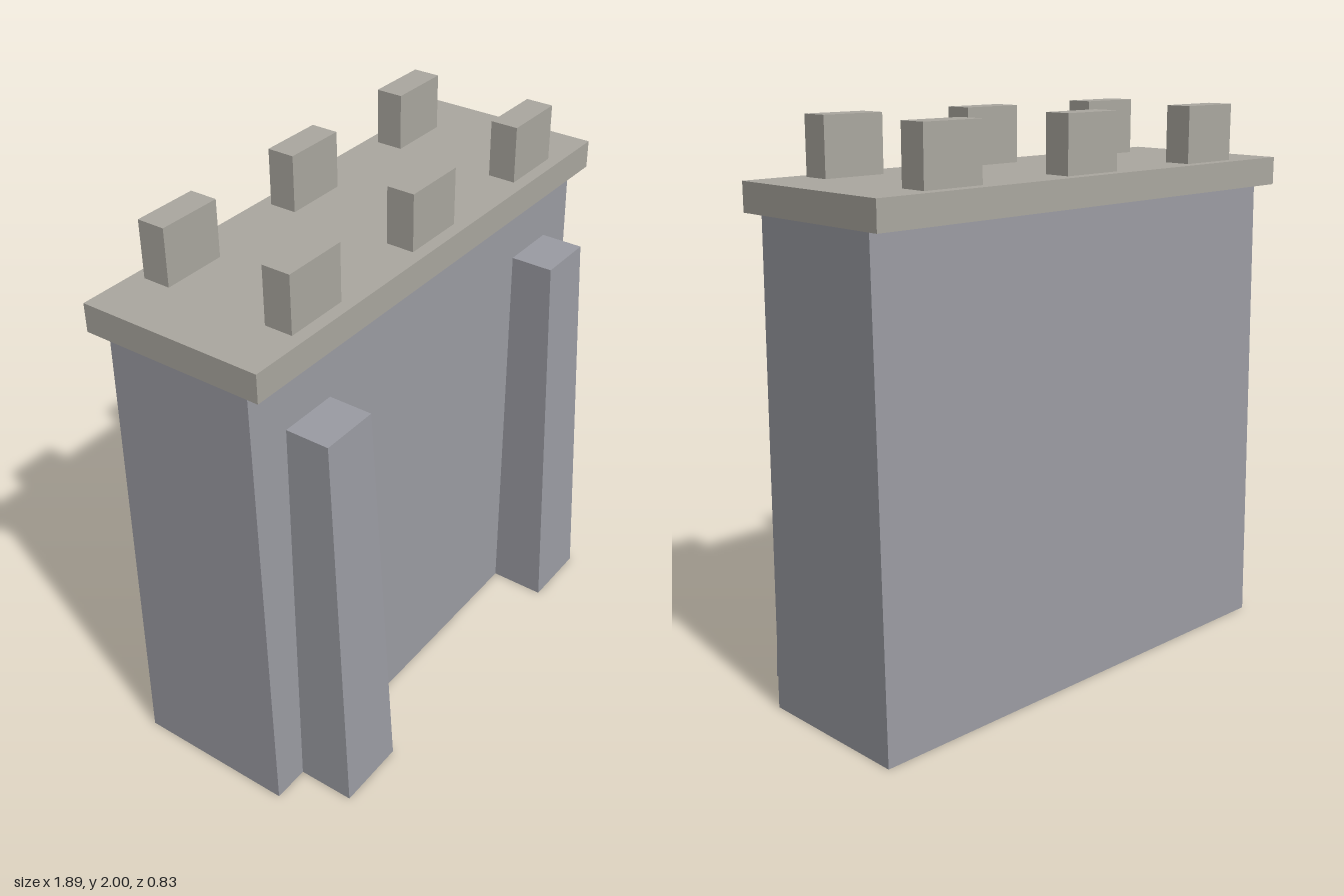
import * as THREE from 'three';

const wallMat = new THREE.MeshStandardMaterial({ color: 0x9b9ca3, flatShading: true });
const capMat = new THREE.MeshStandardMaterial({ color: 0xaba8a0, flatShading: true });

// Box from y0 to y1; bottom and top are [xMin, xMax, zMin, zMax]
function taperedBlock(name, material, y0, y1, bottom, top = bottom) {
  const geometry = new THREE.BoxGeometry(1, 1, 1);
  const p = geometry.attributes.position;
  for (let i = 0; i < p.count; i++) {
    const upper = p.getY(i) > 0;
    const r = upper ? top : bottom;
    p.setXYZ(i, r[p.getX(i) > 0 ? 1 : 0], upper ? y1 : y0, r[p.getZ(i) > 0 ? 3 : 2]);
  }
  geometry.computeVertexNormals();
  const mesh = new THREE.Mesh(geometry, material);
  mesh.name = name;
  return mesh;
}

export function createModel() {
  const model = new THREE.Group();
  model.name = 'castleWall';

  // Wall body, leaning inward at front and back
  model.add(taperedBlock('wall', wallMat, 0, 1.7,
    [-0.92, 0.92, -0.38, 0.21], [-0.92, 0.92, -0.35, 0.185]));

  // Tapered buttresses on the front face
  for (const [side, s] of [['left', 1], ['right', -1]]) {
    const span = (a, b) => (s > 0 ? [a, b] : [-b, -a]);
    model.add(taperedBlock(side + 'Buttress', wallMat, 0, 1.48,
      [...span(0.52, 0.785), 0.18, 0.417], [...span(0.543, 0.76), 0.18, 0.345]));
  }

  // Overhanging walkway slab
  model.add(taperedBlock('walkway', capMat, 1.7, 1.8, [-0.945, 0.945, -0.417, 0.247]));

  // Two rows of merlons
  const merlons = new THREE.Group();
  merlons.name = 'merlons';
  for (const z of [0.152, -0.323]) {
    for (const x of [-0.612, 0, 0.612]) {
      merlons.add(taperedBlock(z > 0 ? 'frontMerlon' : 'backMerlon', capMat, 1.8, 2,
        [x - 0.118, x + 0.118, z - 0.05, z + 0.05]));
    }
  }
  model.add(merlons);

  return model;
}
